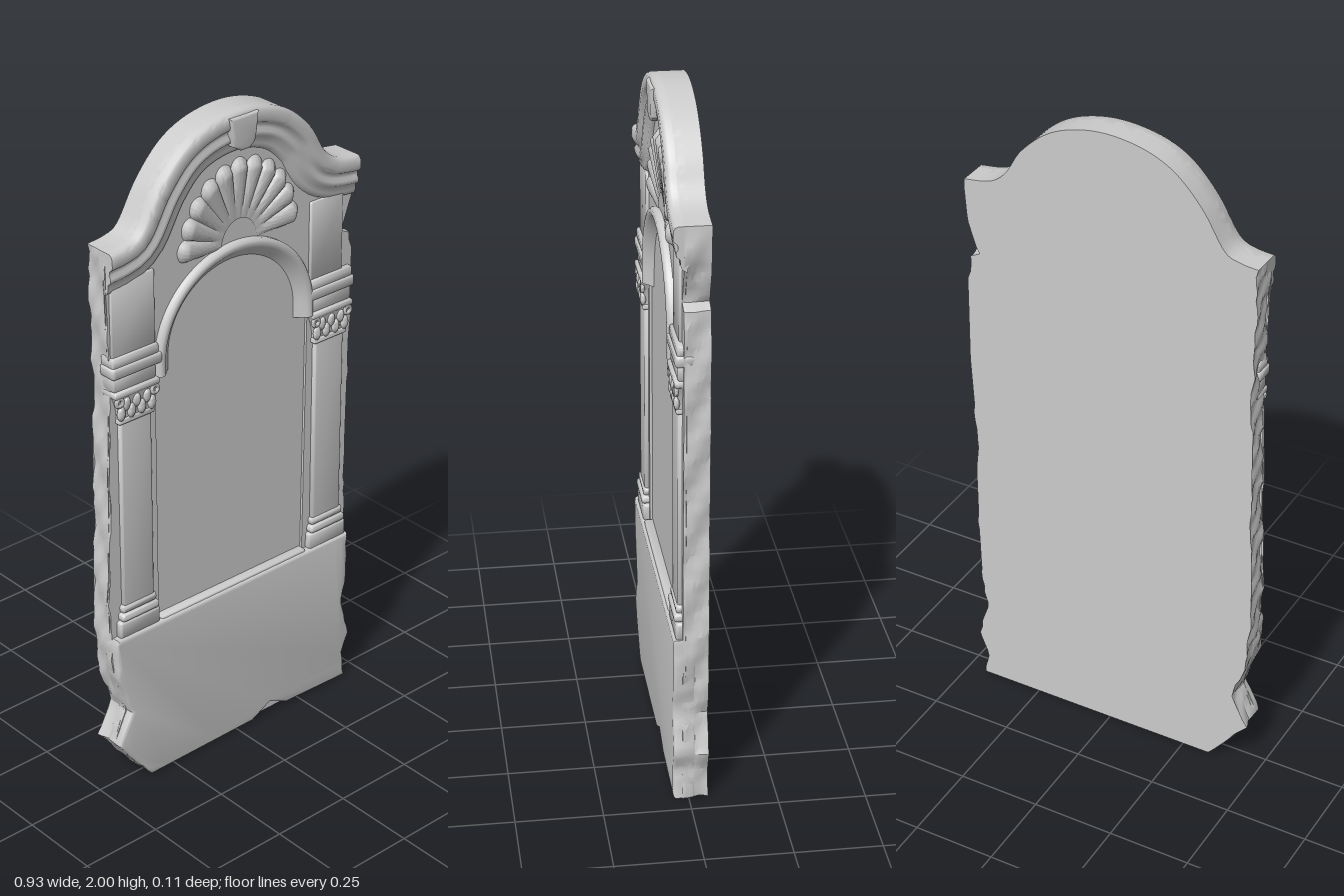
import * as THREE from 'three';
import { toCreasedNormals } from 'three/addons/utils/BufferGeometryUtils.js';
import { RoundedBoxGeometry } from 'three/addons/geometries/RoundedBoxGeometry.js';

const BACK = -0.055, PANEL = 0.01, FIELD = 0.018;
const stone = new THREE.MeshStandardMaterial({ color: 0xcccccc, roughness: 0.95 });
const V = (p) => new THREE.Vector2(p[0], p[1]);

// Edge points, top arch from left shoulder to right, then each broken side
const topPts = [[-0.447, 1.715], [-0.39, 1.722], [-0.345, 1.745], [-0.28, 1.85], [-0.2, 1.935], [-0.11, 1.98], [0, 1.997],
  [0.1, 1.985], [0.19, 1.947], [0.27, 1.875], [0.32, 1.795], [0.37, 1.757], [0.452, 1.742]];
const rightPts = [[0.457, 1.66], [0.435, 1.58], [0.412, 1.515], [0.445, 1.5], [0.452, 1.4], [0.45, 1.13], [0.442, 0.85], [0.446, 0.6]];
const rightLow = [[0.446, 0.5], [0.44, 0.36], [0.428, 0.27], [0.455, 0.15], [0.435, 0.09], [0.442, 0]];
const leftLow = [[-0.335, 0], [-0.39, 0.06], [-0.455, 0.15], [-0.41, 0.25], [-0.452, 0.39], [-0.46, 0.5]];
const leftPts = [[-0.46, 0.65], [-0.45, 0.9], [-0.447, 1.13], [-0.44, 1.3], [-0.446, 1.5]];
const crown = new THREE.SplineCurve(topPts.map(V)).getSpacedPoints(72);

function mesh(name, geo, crease = 0.7) {
  const m = new THREE.Mesh(toCreasedNormals(geo, crease), stone);
  m.name = name;
  return m;
}

// Subdivide a polyline so its edge can be roughened
function dense(points, step = 0.025) {
  const out = [];
  points.forEach((p, i) => {
    const q = points[(i + 1) % points.length];
    const n = Math.max(1, Math.round(p.distanceTo(q) / step));
    for (let k = 0; k < n; k++) out.push(p.clone().lerp(q, k / n));
  });
  return out;
}

// Weathering of the side faces, fading out below the cornice
function weather(geo, amp = 0.006) {
  const p = geo.attributes.position;
  for (let i = 0; i < p.count; i++) {
    const x = p.getX(i), y = p.getY(i), z = p.getZ(i);
    if (Math.abs(x) < 0.37 || y > 1.7) continue;
    const n = Math.sin(y * 31 + z * 60) + 0.7 * Math.sin(y * 67 - z * 95 + x * 3) + 0.4 * Math.sin(y * 113 + z * 40);
    p.setX(i, x + Math.sign(x) * amp * (n * 0.6 - 0.3));
  }
  return geo;
}

function extrude(shape, z0, z1, bevel = 0, steps = 1) {
  const geo = new THREE.ExtrudeGeometry(shape, {
    depth: z1 - z0 - bevel, steps, curveSegments: 32, bevelEnabled: bevel > 0,
    bevelThickness: bevel, bevelSize: bevel, bevelOffset: -bevel, bevelSegments: 3,
  });
  return geo.translate(0, 0, z0);
}

// Worn rectangular block rising from the slab to height z
function block(name, x0, x1, y0, y1, z, r = 0.009) {
  const geo = new RoundedBoxGeometry(x1 - x0, y1 - y0, z + 0.02, 2, r);
  return mesh(name, geo.translate((x0 + x1) / 2, (y0 + y1) / 2, (z - 0.02) / 2));
}

// Moulding: profile of [inset, z] carried along a path
function moulding(name, path, profile) {
  const pos = [], idx = [], m = profile.length, last = path.length - 1;
  path.forEach((p, i) => {
    const t = path[Math.min(i + 1, last)].clone().sub(path[Math.max(i - 1, 0)]).normalize();
    if (i === 0 || i === last) t.set(1, 0);
    if (name === 'archMoulding' && (i === 0 || i === last)) t.set(0, i ? -1 : 1);
    profile.forEach(([d, z]) => pos.push(p.x + t.y * d, p.y - t.x * d, z));
  });
  for (let i = 0; i < last; i++) for (let j = 0; j < m - 1; j++) {
    const a = i * m + j;
    idx.push(a, a + 1, a + m, a + 1, a + m + 1, a + m);
  }
  for (let j = 1; j < m - 1; j++) idx.push(0, j + 1, j, last * m, last * m + j, last * m + j + 1);
  const geo = new THREE.BufferGeometry();
  geo.setAttribute('position', new THREE.Float32BufferAttribute(pos, 3));
  geo.setIndex(idx);
  return mesh(name, geo, 0.9);
}

// Fluted half shell with a scalloped rim
function shell() {
  const geo = new THREE.PlaneGeometry(1, 1, 132, 14), p = geo.attributes.position, lobes = 11;
  for (let i = 0; i < p.count; i++) {
    const u = p.getX(i) + 0.5, v = p.getY(i) + 0.5, a = Math.PI * (1 - u);
    const flute = Math.abs(Math.sin(u * lobes * Math.PI));
    const r = (0.3 + 0.7 * v) * (0.94 + 0.06 * flute * v);
    const rim = Math.min(1, (1 - v) * 7);
    const z = FIELD - 0.003 + rim * (0.006 + 0.02 * v * Math.sqrt(flute));
    p.setXYZ(i, 0.02 + 0.225 * r * Math.cos(a), 1.6 + 0.255 * r * Math.sin(a), z);
  }
  return mesh('shell', geo, 1.0);
}

// Pilaster with base, capital, entablature and the pier above it
function pilaster(side) {
  const g = new THREE.Group();
  g.name = side < 0 ? 'rightPilaster' : 'leftPilaster';
  const add = (name, a, b, y0, y1, z, r) =>
    g.add(block(name, Math.min(a * side, b * side), Math.max(a * side, b * side), y0, y1, z, r));
  add('shaft', 0.305, 0.418, 0.58, 1.22, 0.03);
  add('plinth', 0.29, 0.437, 0.51, 0.565, 0.037);
  add('baseMoulding', 0.295, 0.43, 0.565, 0.59, 0.041);
  add('baseMoulding', 0.3, 0.425, 0.59, 0.615, 0.035);
  add('neckRing', 0.298, 0.425, 1.195, 1.213, 0.036, 0.007);
  // Capital flares upward
  const cap = new THREE.BoxGeometry(0.13, 0.075, 0.055, 1, 6, 1), p = cap.attributes.position;
  for (let i = 0; i < p.count; i++) {
    const t = p.getY(i) / 0.075 + 0.5;
    p.setX(i, p.getX(i) * (0.92 + 0.26 * t * t));
    p.setZ(i, p.getZ(i) > 0 ? 0.03 + 0.008 * t * t : -0.02);
  }
  g.add(mesh('capital', cap.translate(side * 0.362, 1.247, 0)));
  for (let row = 0; row < 2; row++) for (let k = 0; k < 4 - row; k++) {
    const leaf = new THREE.SphereGeometry(1, 12, 8).scale(0.014, 0.022, 0.009);
    g.add(mesh('leaf', leaf.translate(side * 0.362 + (k - (3 - row) / 2) * 0.036, 1.23 + row * 0.027, 0.033), 1.5));
  }
  for (const k of [-1, 1]) {
    const volute = new THREE.TorusGeometry(0.011, 0.006, 8, 16);
    g.add(mesh('volute', volute.translate(side * 0.362 + k * 0.062, 1.268, 0.036), 1.5));
  }
  add('abacus', 0.283, 0.442, 1.28, 1.3, 0.042, 0.007);
  add('architrave', 0.29, 0.44, 1.298, 1.345, 0.034);
  add('entablatureCornice', 0.272, 0.447, 1.34, 1.375, 0.041);
  add('entablatureTop', 0.28, 0.443, 1.368, 1.402, 0.036);
  add('pier', 0.285, side > 0 ? 0.41 : 0.437, 1.39, side > 0 ? 1.64 : 1.62, 0.026, 0.006);
  return g;
}

export function createModel() {
  const model = new THREE.Group();
  model.name = 'gravestone';

  // Slab and the raised field around the sunk panel
  const outline = dense([...crown, ...[...rightPts, ...rightLow, ...leftLow, ...leftPts].map(V)]);
  model.add(mesh('slab', weather(extrude(new THREE.Shape(outline), BACK, PANEL, 0, 5)), 0.5));
  const field = new THREE.Shape(outline);
  const opening = new THREE.Path();
  opening.moveTo(-0.282, 0.52).lineTo(0.275, 0.52).lineTo(0.282, 1.33);
  opening.absellipse(0, 1.33, 0.282, 0.26, 0, Math.PI, false, 0);
  opening.lineTo(-0.282, 0.52);
  field.holes.push(opening);
  model.add(mesh('field', weather(extrude(field, PANEL, FIELD)), 0.5));

  // Plain base block, chipped at its lower edge
  const base = [[-0.455, 0.515], [0.442, 0.515], ...rightLow, [0.2, 0.008], [0.13, 0.04], [0.06, 0.004], ...leftLow];
  model.add(mesh('base', weather(extrude(new THREE.Shape(dense(base.map(V))), FIELD - 0.03, 0.044, 0.009), 0.004)));
  model.add(block('panelSill', -0.283, 0.277, 0.5, 0.523, 0.036));

  for (const side of [-1, 1]) model.add(pilaster(side));

  // Arched moulding over the panel
  const arch = [];
  for (let i = 0; i <= 48; i++) {
    const a = Math.PI * (1 - i / 48);
    arch.push(new THREE.Vector2(0.003 + 0.288 * Math.cos(a), 1.335 + 0.275 * Math.sin(a)));
  }
  arch.unshift(new THREE.Vector2(-0.285, 1.295));
  arch.push(new THREE.Vector2(0.291, 1.295));
  model.add(moulding('archMoulding', arch,
    [[0, 0], [0, 0.03], [0.006, 0.039], [0.016, 0.041], [0.026, 0.036], [0.04, 0.022], [0.052, 0.013], [0.06, 0.006]]));

  // Stepped cornice along the top
  model.add(moulding('cornice', crown,
    [[0, -0.01], [0, 0.034], [0.004, 0.042], [0.012, 0.047], [0.036, 0.048], [0.045, 0.044], [0.05, 0.036],
      [0.062, 0.034], [0.072, 0.04], [0.084, 0.039], [0.092, 0.029], [0.108, 0.028], [0.12, 0.024], [0.128, 0.01]]));

  // Keystone
  const key = new THREE.Shape([[-0.04, 1.985], [-0.032, 1.93], [-0.025, 1.9], [0, 1.885], [0.03, 1.885],
    [0.05, 1.9], [0.056, 1.93], [0.062, 1.985]].map(V));
  model.add(mesh('keystone', extrude(key, 0, 0.055, 0.008)));

  model.add(shell());
  return model;
}
